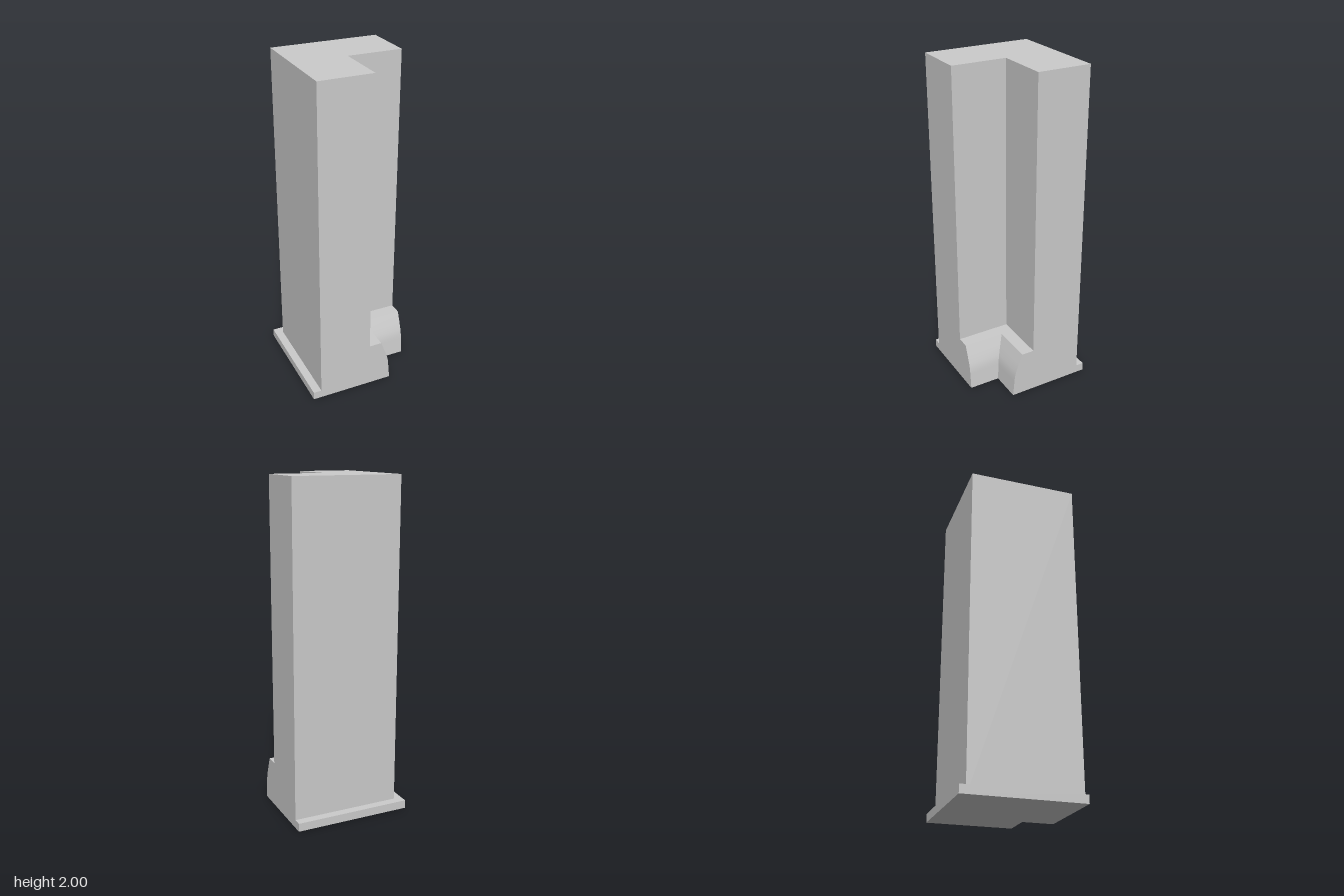
import * as THREE from 'three';
import { mergeGeometries, toCreasedNormals } from 'three/addons/utils/BufferGeometryUtils.js';

const END = 0.353; // where both arms of the L are cut off

// Flat end cap; sign -1 mirrors the profile so it can be turned to face +x
function cap(profile, sign) {
  const shape = new THREE.Shape(profile.map(([d, y]) => new THREE.Vector2(sign * d, y)));
  const geo = new THREE.ShapeGeometry(shape);
  if (sign < 0) geo.rotateY(Math.PI / 2).translate(END, 0, 0);
  else geo.translate(0, 0, END);
  return geo;
}

// Sweeps a profile of [offset, height] points round the mitred L corner.
// Points run clockwise; the last-to-first gap is hidden against a neighbour.
function sweepL(profile) {
  const position = [], index = [], n = profile.length;
  const stations = [
    (d, y) => [END, y, d],
    (d, y) => [d, y, d],
    (d, y) => [d, y, END],
  ];
  for (const at of stations) for (const [d, y] of profile) position.push(...at(d, y));
  for (let s = 0; s < 2; s++) {
    for (let p = 0; p < n - 1; p++) {
      const a = s * n + p, b = a + n;
      index.push(a, b, b + 1, a, b + 1, a + 1);
    }
  }
  const strip = new THREE.BufferGeometry();
  strip.setAttribute('position', new THREE.Float32BufferAttribute(position, 3));
  strip.setIndex(index);
  const pieces = [strip, cap(profile, 1), cap(profile, -1)].map((g) => {
    const flat = g.toNonIndexed();
    flat.deleteAttribute('normal');
    flat.deleteAttribute('uv');
    return flat;
  });
  return toCreasedNormals(mergeGeometries(pieces), Math.PI / 6);
}

export function createModel() {
  const group = new THREE.Group();
  group.name = 'cornerWall';
  const material = new THREE.MeshStandardMaterial({ color: 0xcccccc });

  const parts = {
    // tall L-shaped wall
    wall: [[0.022, 0], [-0.303, 0], [-0.303, 2], [0.022, 2], [0.022, 0.28]],
    // low skirting round the two outer faces
    skirting: [[-0.303, 0], [-0.353, 0], [-0.353, 0.05], [-0.303, 0.05]],
    // flared foot in the inner corner, with a ledge on top
    flaredFoot: [
      [0.022, 0.28], [0.1, 0.28], [0.123, 0.22], [0.143, 0.165],
      [0.151, 0.13], [0.154, 0.1], [0.163, 0], [0.022, 0],
    ],
  };
  for (const [name, profile] of Object.entries(parts)) {
    const mesh = new THREE.Mesh(sweepL(profile), material);
    mesh.name = name;
    group.add(mesh);
  }
  return group;
}
